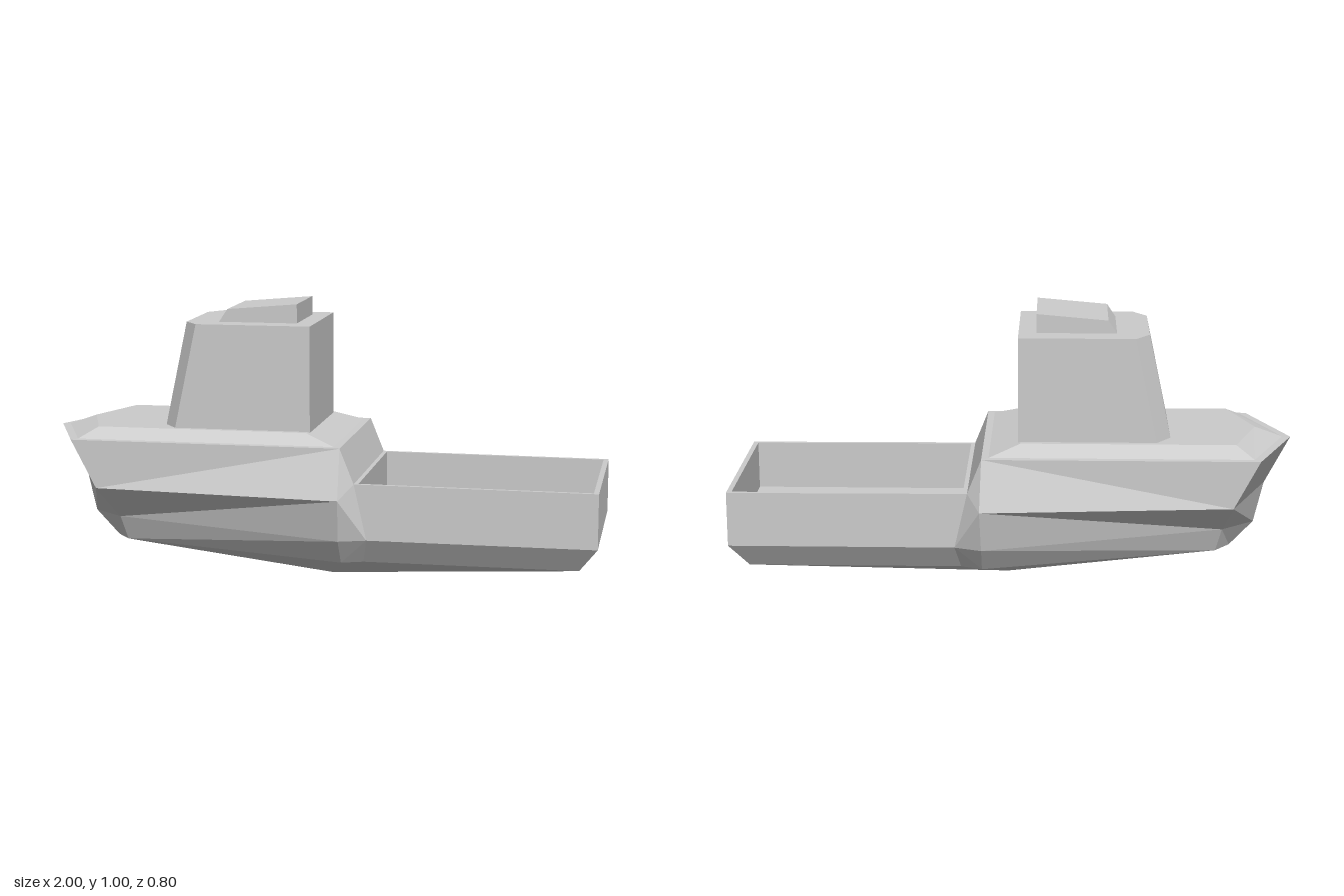
import * as THREE from 'three';

const material = new THREE.MeshStandardMaterial({ color: 0xcccccc, flatShading: true });

// Builds a flat-shaded mesh from triangles of [x, y, z] corners, dropping degenerate ones.
function facetMesh(name, tris) {
  const kept = tris.filter(t => {
    const [a, b, c] = t.map(p => new THREE.Vector3(...p));
    return b.sub(a).cross(c.sub(a)).length() > 1e-7;
  });
  const geometry = new THREE.BufferGeometry();
  geometry.setAttribute('position', new THREE.Float32BufferAttribute(kept.flat(2), 3));
  geometry.computeVertexNormals();
  const mesh = new THREE.Mesh(geometry, material);
  mesh.name = name;
  return mesh;
}

const flip = ([x, y, z]) => [x, y, -z];

// Completes a half outline (bow to stern, z >= 0) into a closed ring.
const ring = half => [...half, ...half.filter(p => p[2] > 0).reverse().map(flip)];

// Joins half outlines from first to last and closes the last one.
function loft(name, halves) {
  const rings = halves.map(ring);
  const n = rings[0].length;
  const tris = [];
  for (let r = 0; r + 1 < rings.length; r++) {
    for (let i = 0; i < n; i++) {
      const j = (i + 1) % n;
      const [lo, hi] = [rings[r], rings[r + 1]];
      tris.push([lo[i], lo[j], hi[j]], [lo[i], hi[j], hi[i]]);
    }
  }
  const cap = rings[rings.length - 1];
  for (let i = 1; i + 1 < n; i++) tris.push([cap[0], cap[i], cap[i + 1]]);
  return facetMesh(name, tris);
}

// Hull: columns of points from gunwale to chine, bow to stern, all meeting at a keel point.
function hull() {
  const keel = [0.02, 0, 0];
  const columns = [
    [[-1, 0.522, 0], [-0.91, 0.35, 0], [-0.875, 0.2, 0], [-0.79, 0.11, 0]],
    [[-0.865, 0.522, 0.33], [-0.775, 0.35, 0.33], [-0.755, 0.2, 0.1], [-0.735, 0.11, 0.07]],
    [[0.105, 0.522, 0.33], [0.11, 0.35, 0.402], [0.105, 0.2, 0.365], [0.105, 0.11, 0.3]],
    [[0.155, 0.398, 0.33], [0.2, 0.2, 0.33], [0.2, 0.2, 0.33], [0.18, 0.11, 0.27]],
    [[1, 0.395, 0.33], [1, 0.2, 0.33], [1, 0.2, 0.33], [0.935, 0.11, 0.27]],
    [[1, 0.395, 0], [1, 0.2, 0], [1, 0.2, 0], [0.935, 0.11, 0]],
  ];
  const side = [];
  for (let i = 0; i + 1 < columns.length; i++) {
    const [p, q] = [columns[i], columns[i + 1]];
    for (let k = 0; k < 3; k++) {
      side.push([p[k], p[k + 1], q[k]], [p[k + 1], q[k + 1], q[k]]);
    }
    side.push([p[3], keel, q[3]]);
  }
  return facetMesh('hull', [...side, ...side.map(([a, b, c]) => [flip(a), flip(c), flip(b)])]);
}

// Sloped step from the foredeck down to the cargo well
function deckStep() {
  const a = [0.105, 0.522, 0.33], b = [0.155, 0.398, 0.33];
  return facetMesh('deckStep', [[a, b, flip(b)], [a, flip(b), flip(a)]]);
}

export function createModel() {
  const model = new THREE.Group();
  model.name = 'boat';

  const plan = (y, tip, shoulder, aft, z) => [[tip, y, 0], [shoulder, y, z], [aft, y, z]];
  const rect = (y0, y1, x0, x1, z) => [[x0, y0, z], [x1, y1, z]];
  const cabinPlan = (y, x) => [[x, y, 0.157], [x + 0.05, y, 0.227], [-0.02, y, 0.227]];

  model.add(
    hull(),
    deckStep(),
    // Raised foredeck with a narrow rim and bevelled edge
    loft('foredeck', [
      plan(0.522, -1, -0.865, 0.105, 0.33),
      plan(0.523, -0.97, -0.845, 0.08, 0.307),
      plan(0.559, -0.87, -0.785, -0.03, 0.248),
    ]),
    // Open cargo well: rim, inner walls and floor
    loft('cargoWell', [
      rect(0.398, 0.395, 0.155, 1, 0.33),
      rect(0.398, 0.395, 0.17, 0.982, 0.315),
      rect(0.22, 0.22, 0.17, 0.982, 0.315),
    ]),
    // Wheelhouse with raked, chamfered front
    loft('wheelhouse', [cabinPlan(0.555, -0.56), cabinPlan(0.932, -0.48)]),
    // Roof hatch with slanted top
    loft('roofHatch', [
      rect(0.93, 0.93, -0.367, -0.083, 0.142),
      rect(0.978, 1, -0.335, -0.083, 0.142),
    ]),
  );
  return model;
}
